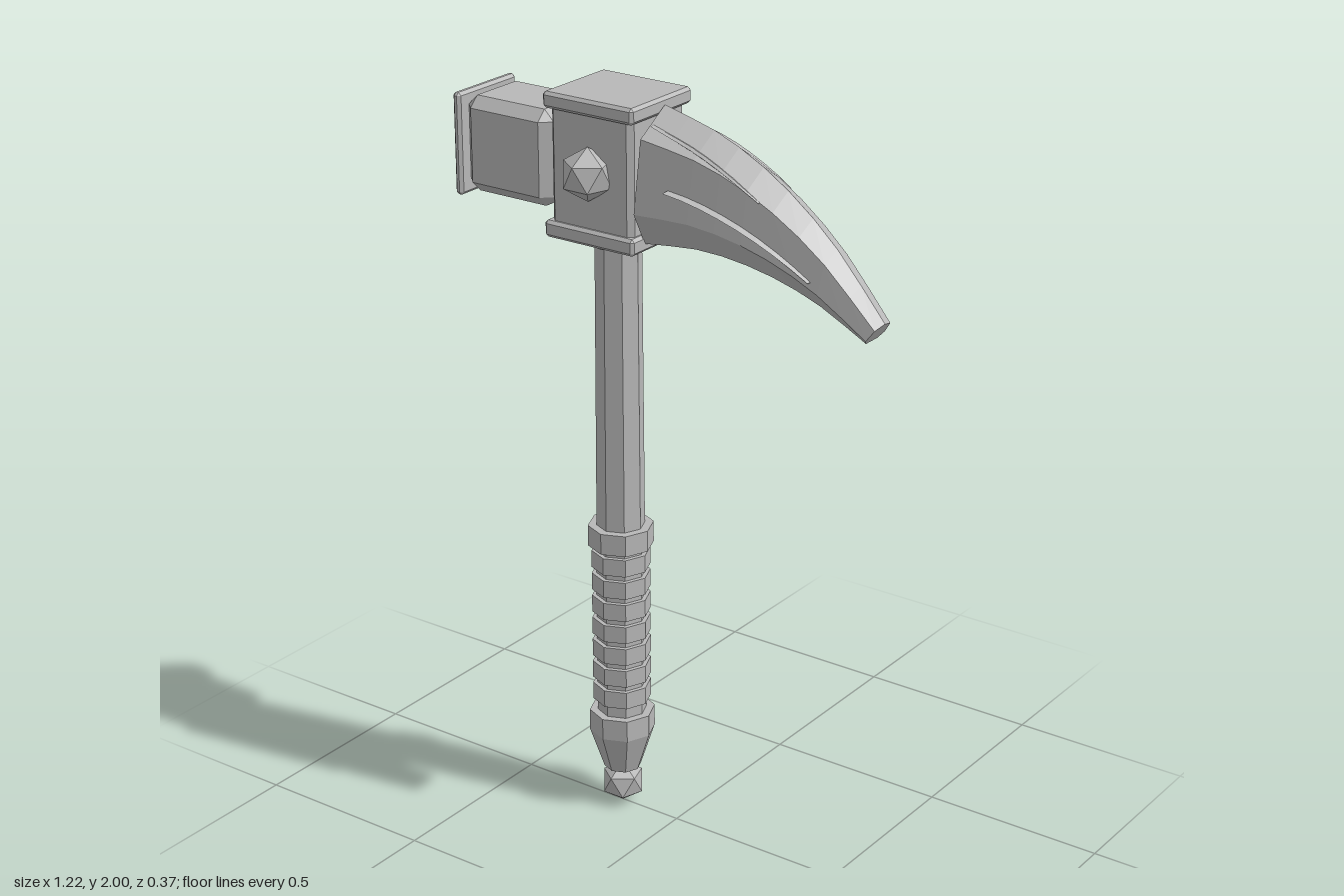
import * as THREE from 'three';
import { ConvexGeometry } from 'three/addons/geometries/ConvexGeometry.js';

const AXIS = -0.18; // handle centre line in x

// Box with every edge chamfered by c
function chamferBox(w, h, d, c) {
  const pts = [];
  for (const x of [-1, 1]) for (const y of [-1, 1]) for (const z of [-1, 1]) {
    for (let k = 0; k < 3; k++) {
      pts.push(new THREE.Vector3(
        x * (w / 2 - (k === 0 ? 0 : c)),
        y * (h / 2 - (k === 1 ? 0 : c)),
        z * (d / 2 - (k === 2 ? 0 : c))));
    }
  }
  return new ConvexGeometry(pts);
}

// Flat-faceted closed solid through rings running along +x
function loft(rings) {
  const n = rings[0].length, last = (rings.length - 1) * n, index = [];
  for (let i = 0; i < rings.length - 1; i++) for (let j = 0; j < n; j++) {
    const a = i * n + j, b = i * n + (j + 1) % n;
    index.push(a, b, b + n, a, b + n, a + n);
  }
  for (let j = 1; j < n - 1; j++) {
    index.push(0, j + 1, j);
    index.push(last, last + j, last + j + 1);
  }
  const geo = new THREE.BufferGeometry().setFromPoints(rings.flat());
  geo.setIndex(index);
  const flat = geo.toNonIndexed();
  flat.computeVertexNormals();
  return flat;
}

// Icosahedron standing on one vertex
function gemGeometry(r) {
  return new THREE.IcosahedronGeometry(r, 0).rotateX(-Math.atan((1 + Math.sqrt(5)) / 2));
}

const curve = (pts) => new THREE.CatmullRomCurve3(pts.map(([x, y]) => new THREE.Vector3(x, y, 0)));

export function createModel() {
  const group = new THREE.Group();
  const stone = new THREE.MeshStandardMaterial({ color: 0xb8b8b8, flatShading: true });
  stone.name = 'grey metal';

  const add = (name, geo, x, y, z = 0) => {
    const mesh = new THREE.Mesh(geo, stone);
    mesh.name = name;
    mesh.position.set(x, y, z);
    group.add(mesh);
    return mesh;
  };
  const post = (name, rTop, rBottom, y0, y1) =>
    add(name, new THREE.CylinderGeometry(rTop, rBottom, y1 - y0, 8), AXIS, (y0 + y1) / 2);

  // Handle
  post('shaft', 0.06, 0.064, 0.8, 1.64);
  post('shaftCollar', 0.074, 0.074, 1.605, 1.64);
  post('gripCore', 0.066, 0.066, 0.26, 0.8);
  post('gripTopCollar', 0.087, 0.087, 0.772, 0.83);
  for (let i = 0; i < 7; i++) {
    const y = 0.733 - i * 0.065;
    post('gripRing', 0.078, 0.078, y - 0.024, y + 0.024);
  }
  post('gripBottomCollar', 0.088, 0.088, 0.225, 0.285);
  post('pommelTaper', 0.088, 0.05, 0.11, 0.225);
  add('pommelGem', gemGeometry(0.06), AXIS, 0.06);

  // Head block with end plates and side gems
  add('headBlock', chamferBox(0.25, 0.32, 0.225, 0.014), AXIS, 1.815);
  add('headTopPlate', chamferBox(0.275, 0.042, 0.25, 0.008), AXIS, 1.979);
  add('headBottomPlate', chamferBox(0.275, 0.044, 0.25, 0.008), AXIS, 1.648);
  for (const s of [-1, 1]) {
    const gem = add('sideGem', gemGeometry(0.07), AXIS, 1.813, s * 0.122);
    if (s < 0) gem.rotation.y = Math.PI;
  }

  // Hammer end
  add('hammer', chamferBox(0.27, 0.25, 0.21, 0.028), -0.453, 1.813);
  add('hammerFace', chamferBox(0.024, 0.268, 0.23, 0.008), -0.6, 1.811);

  // Curved pick: ridge, shoulders and a narrow underside
  const top = curve([[-0.035, 1.985], [0.13, 1.94], [0.29, 1.86], [0.45, 1.735], [0.605, 1.56]]);
  const bottom = curve([[-0.045, 1.648], [0.12, 1.66], [0.28, 1.638], [0.43, 1.588], [0.57, 1.51]]);
  const halfWidth = (t) => THREE.MathUtils.lerp(0.12, 0.043, t);
  const point = (t, f, z) => top.getPoint(t).lerp(bottom.getPoint(t), f).setZ(z);
  const rings = [];
  for (let i = 0; i <= 9; i++) {
    const t = i / 9, w = halfWidth(t);
    rings.push([[0, 0], [0.19, 0.82], [0.74, 1], [1, 0.6], [1, -0.6], [0.74, -1], [0.19, -0.82]]
      .map(([f, k]) => point(t, f, k * w)));
  }
  add('pick', loft(rings), 0, 0);

  // Thin raised ribs along the pick's sides
  const ribs = [
    { t0: 0.13, t1: 0.74, f0: 0.51, f1: 0.64, out0: 0.022, out1: 0.01 },
    { t0: 0.01, t1: 0.5, f0: 0.11, f1: 0.2, out0: 0.01, out1: 0.004 },
  ];
  const surface = (f) => (f < 0.19 ? 0.82 * f / 0.19 : 0.82 + 0.18 * (f - 0.19) / 0.55);
  for (const r of ribs) for (const s of [-1, 1]) {
    const ribRings = [];
    for (let i = 0; i <= 8; i++) {
      const u = i / 8, t = THREE.MathUtils.lerp(r.t0, r.t1, u), f = THREE.MathUtils.lerp(r.f0, r.f1, u);
      const z = surface(f) * halfWidth(t), out = THREE.MathUtils.lerp(r.out0, r.out1, u);
      const h = 0.002 + 0.004 * Math.sin(Math.PI * u);
      const centre = point(t, f, s * z);
      const ring = [[h, 0], [0, out], [-h, 0], [0, -0.015]]
        .map(([dy, dz]) => centre.clone().add(new THREE.Vector3(0, dy, s * dz)));
      ribRings.push(s > 0 ? ring : ring.reverse());
    }
    add('pickRib', loft(ribRings), 0, 0);
  }
  return group;
}
